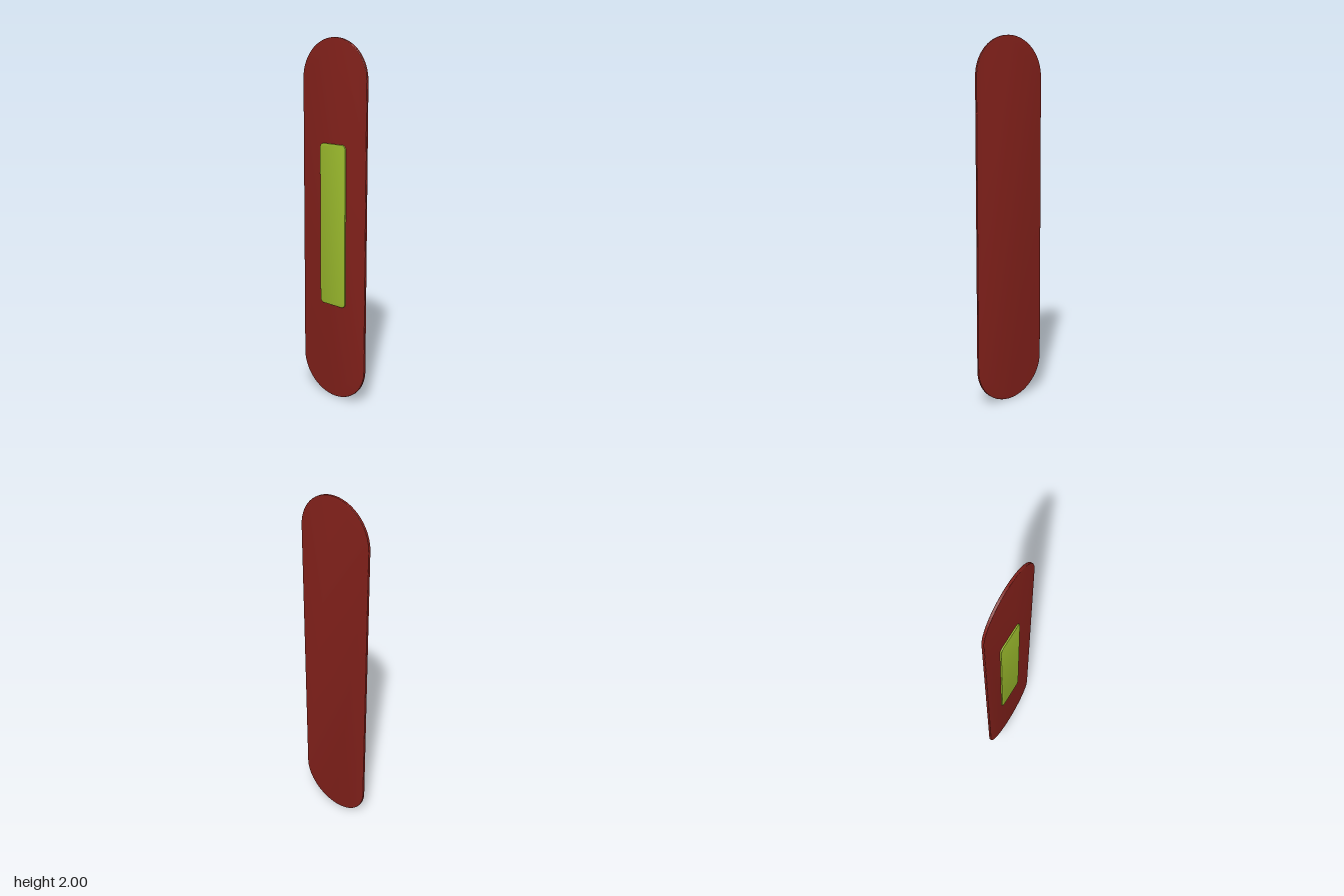
import * as THREE from 'three';
import { toCreasedNormals } from 'three/addons/utils/BufferGeometryUtils.js';

// Extrudes an outline (drawn in -z, y) along x from x0 to x1, with softened rims.
function slab(name, shape, x0, x1, bevel, color) {
  const geo = new THREE.ExtrudeGeometry(shape, {
    depth: x1 - x0 - 2 * bevel,
    bevelEnabled: true,
    bevelThickness: bevel,
    bevelSize: bevel,
    bevelOffset: -bevel,
    bevelSegments: 3,
    curveSegments: 32,
  });
  geo.translate(0, 0, x0 + bevel);
  geo.rotateY(Math.PI / 2);
  const mesh = new THREE.Mesh(
    toCreasedNormals(geo, 0.7),
    new THREE.MeshStandardMaterial({ color })
  );
  mesh.name = name;
  return mesh;
}

// Long board with round ends; one long edge tapers very slightly towards the top.
function boardShape() {
  const front = -0.225, backLow = 0.225, backHigh = 0.219, end = 0.215;
  const s = new THREE.Shape();
  s.moveTo(backLow, end);
  s.lineTo(backHigh, 2 - end);
  s.absellipse((front + backHigh) / 2, 2 - end, (backHigh - front) / 2, end, 0, Math.PI, false);
  s.lineTo(front, end);
  s.absellipse((front + backLow) / 2, end, (backLow - front) / 2, end, Math.PI, 2 * Math.PI, false);
  return s;
}

// Rectangle with rounded corners.
function roundedRect(x0, y0, x1, y1, r) {
  const s = new THREE.Shape();
  s.moveTo(x0 + r, y0);
  s.absarc(x1 - r, y0 + r, r, -Math.PI / 2, 0, false);
  s.absarc(x1 - r, y1 - r, r, 0, Math.PI / 2, false);
  s.absarc(x0 + r, y1 - r, r, Math.PI / 2, Math.PI, false);
  s.absarc(x0 + r, y0 + r, r, Math.PI, Math.PI * 1.5, false);
  return s;
}

export function createModel() {
  const group = new THREE.Group();
  group.name = 'board';
  group.add(slab('deck', boardShape(), -0.003, 0.011, 0.003, 0x81201a));
  // Raised pad on the flat face
  group.add(slab('pad', roundedRect(-0.088, 0.55, 0.09, 1.45, 0.025), -0.012, -0.001, 0.002, 0x99b82c));
  return group;
}
